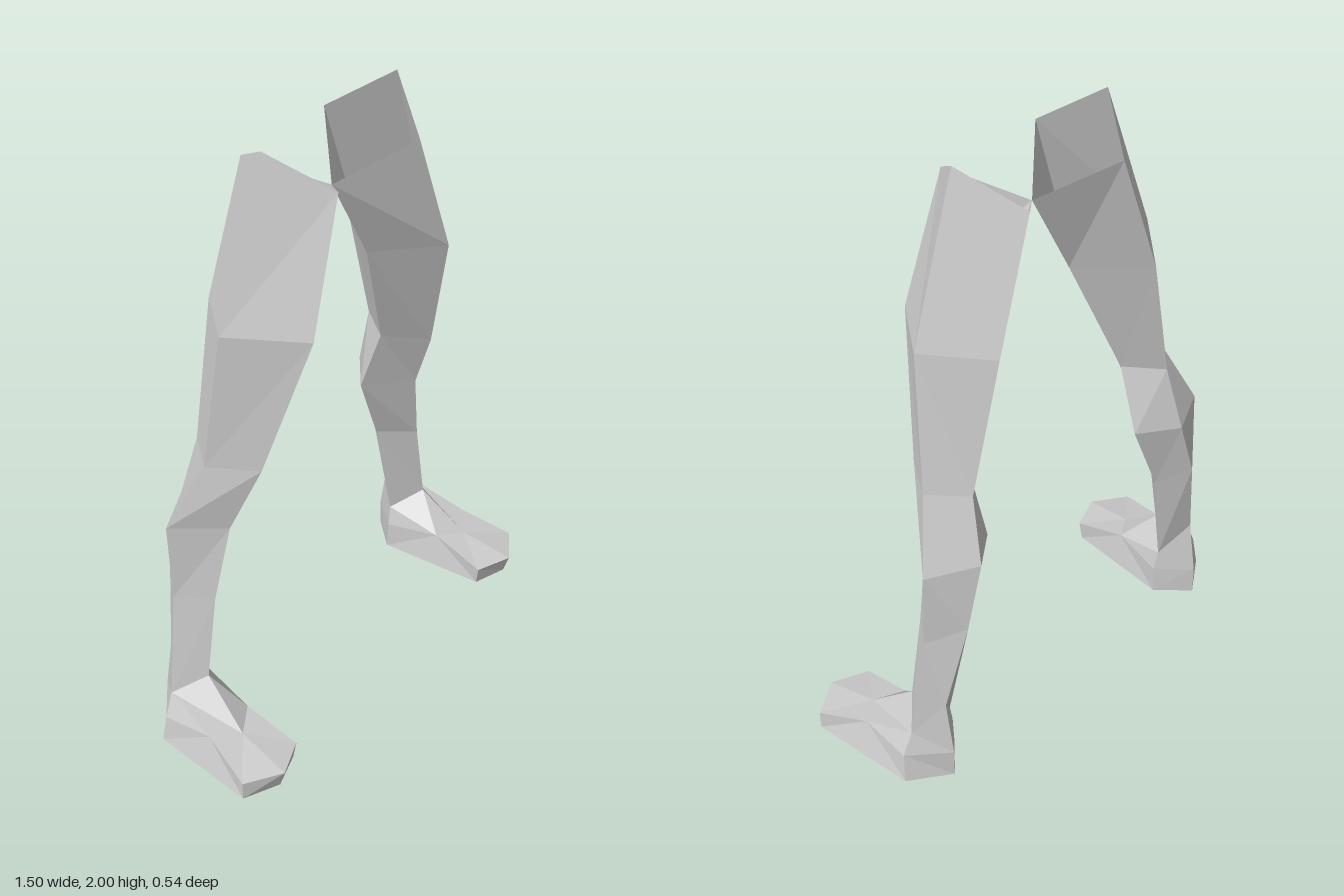
import * as THREE from 'three';

// Four-cornered leg sections, hip to ankle: outer, front, inner, back
const legRings = [
  [[0.31, 2, -0.03], [0.19, 1.88, 0.14], [0, 1.76, -0.03], [0.19, 1.88, -0.205]],
  [[0.49, 1.49, -0.05], [0.33, 1.47, 0.16], [0.165, 1.455, -0.025], [0.33, 1.47, -0.225]],
  [[0.525, 1.03, -0.1], [0.43, 1.02, 0.04], [0.34, 1.03, -0.095], [0.43, 1.03, -0.21]],
  [[0.615, 0.81, -0.185], [0.48, 0.79, -0.05], [0.335, 0.8, -0.17], [0.455, 0.81, -0.265]],
  [[0.615, 0.54, -0.175], [0.535, 0.53, -0.075], [0.44, 0.54, -0.18], [0.52, 0.6, -0.27]],
  [[0.67, 0.18, -0.16], [0.585, 0.24, -0.075], [0.505, 0.17, -0.16], [0.585, 0.29, -0.23]],
];

// Foot corners
const [ankleOut, ankleFront, ankleIn, ankleBack] = legRings[5];
const midOut = [0.7, 0.12, 0.02], midTop = [0.615, 0.105, 0.085], midIn = [0.525, 0.12, 0.03];
const toeOut = [0.75, 0.065, 0.195], toeTip = [0.635, 0.065, 0.27], toeIn = [0.515, 0.065, 0.22];
const heelOut = [0.705, 0.1, -0.157], heelBack = [0.585, 0.1, -0.26], heelIn = [0.49, 0.1, -0.155];
const soleToeOut = [0.75, 0, 0.195], soleTip = [0.635, 0, 0.25], soleToeIn = [0.52, 0, 0.21];
const soleOut = [0.715, 0, -0.17], soleBack = [0.585, 0, -0.26], soleIn = [0.49, 0, -0.16];

const footFaces = [
  // outer side
  [ankleOut, midOut, heelOut], [midOut, toeOut, soleToeOut, soleOut, heelOut],
  // heel
  [ankleOut, heelOut, heelBack, ankleBack], [heelOut, soleOut, soleBack, heelBack],
  [ankleBack, heelBack, heelIn, ankleIn], [heelBack, soleBack, soleIn, heelIn],
  // inner side
  [ankleIn, heelIn, midIn], [midIn, heelIn, soleIn, soleToeIn, toeIn],
  // toe edge
  [toeIn, soleToeIn, soleTip, toeTip], [toeTip, soleTip, soleToeOut, toeOut],
  // instep and top of the toes
  [ankleFront, ankleIn, midIn, midTop], [ankleOut, ankleFront, midTop, midOut],
  [midTop, midIn, toeIn, toeTip, toeOut, midOut],
  // sole
  [soleOut, soleToeOut, soleTip, soleToeIn, soleIn, soleBack],
];

// Quads between neighbouring leg sections, open at the hip
function legFaces() {
  const faces = [];
  for (let r = 0; r < legRings.length - 1; r++) {
    const a = legRings[r], b = legRings[r + 1];
    for (let j = 0; j < 4; j++) {
      const k = (j + 1) % 4;
      faces.push([a[k], b[k], b[j], a[j]]);
    }
  }
  return faces;
}

// Faceted mesh from polygons; side = -1 mirrors it across x
function facetMesh(name, faces, side, material) {
  const positions = [];
  for (const face of faces) {
    const poly = side < 0 ? [face[0], ...face.slice(1).reverse()] : face;
    for (let i = 1; i < poly.length - 1; i++) {
      for (const [x, y, z] of [poly[0], poly[i], poly[i + 1]]) positions.push(x * side, y, z);
    }
  }
  const geometry = new THREE.BufferGeometry();
  geometry.setAttribute('position', new THREE.Float32BufferAttribute(positions, 3));
  geometry.computeVertexNormals();
  const mesh = new THREE.Mesh(geometry, material);
  mesh.name = name;
  return mesh;
}

export function createModel() {
  const model = new THREE.Group();
  model.name = 'legs';
  const material = new THREE.MeshStandardMaterial({
    color: 0xcccccc, flatShading: true, side: THREE.DoubleSide,
  });
  for (const [label, side] of [['left', 1], ['right', -1]]) {
    model.add(facetMesh(label + 'Leg', legFaces(), side, material));
    model.add(facetMesh(label + 'Foot', footFaces, side, material));
  }
  return model;
}
